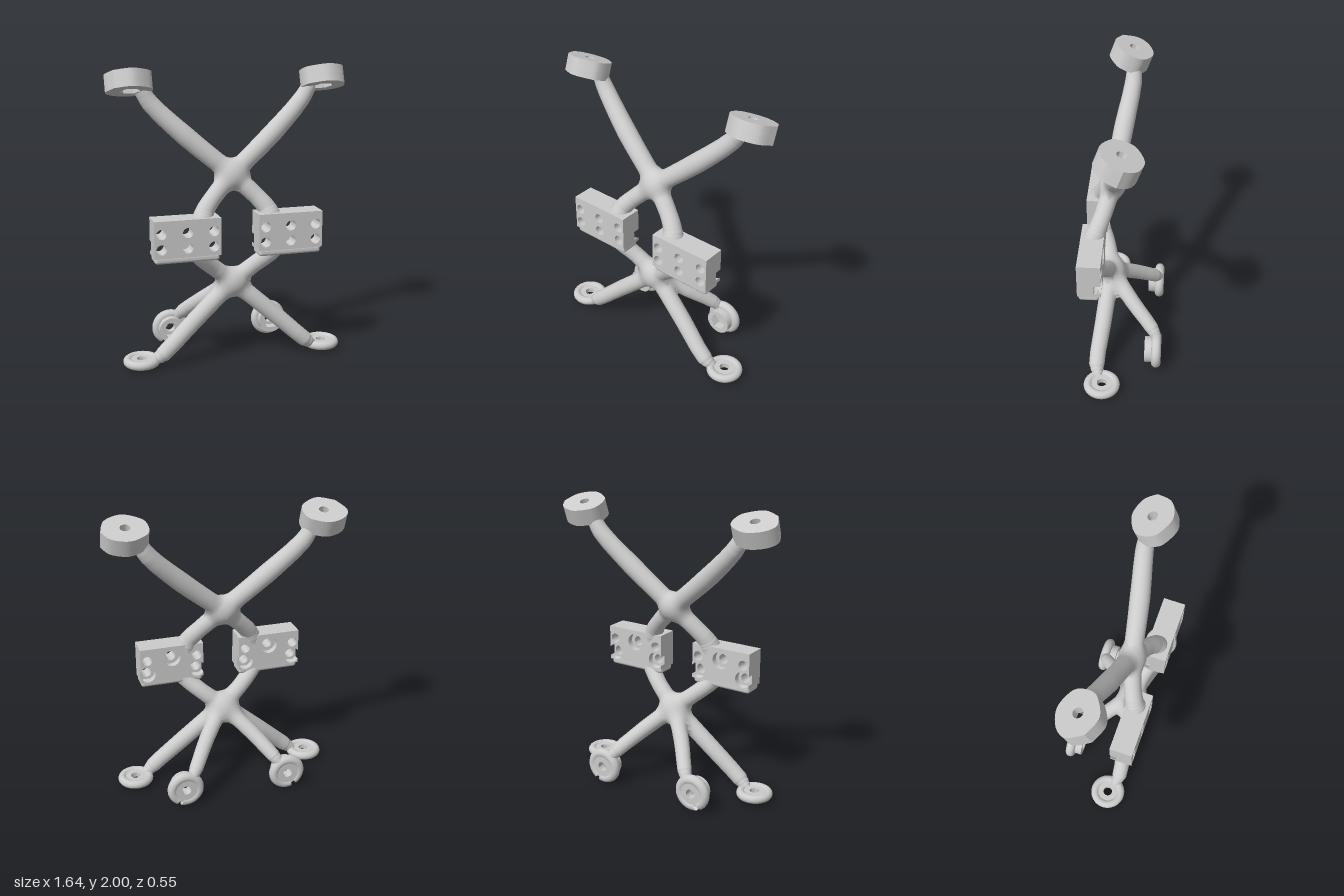
import * as THREE from 'three';
import { toCreasedNormals } from 'three/addons/utils/BufferGeometryUtils.js';
import { RoundedBoxGeometry } from 'three/addons/geometries/RoundedBoxGeometry.js';

const material = new THREE.MeshStandardMaterial({ color: 0xcccccc, side: THREE.DoubleSide });
const V = (x, y, z) => new THREE.Vector3(x, y, z);

function add(parent, name, geometry, x = 0, y = 0, z = 0) {
  const mesh = new THREE.Mesh(geometry, material);
  mesh.name = name;
  mesh.position.set(x, y, z);
  parent.add(mesh);
  return mesh;
}

// Flat plate with holes; each hole is [x, y, radius, sides]
function plate(shape, depth, holes = []) {
  for (const [x, y, r, sides = 28] of holes) {
    const pts = [];
    for (let i = 0; i < sides; i++) {
      const a = (i / sides) * Math.PI * 2;
      pts.push(new THREE.Vector2(x + r * Math.cos(a), y + r * Math.sin(a)));
    }
    shape.holes.push(new THREE.Path(pts));
  }
  const geo = new THREE.ExtrudeGeometry(shape, { depth, bevelEnabled: false, curveSegments: 20 });
  return toCreasedNormals(geo, 0.6);
}

const disc = (r) => new THREE.Shape().absarc(0, 0, r, 0, Math.PI * 2);

// Limb: points are [x, y, z, radius], mirrored by side
function makeLimb(points, side) {
  const curve = new THREE.CatmullRomCurve3(points.map(([x, y, z]) => V(x * side, y, z)));
  const radius = (u) => {
    const f = u * (points.length - 1), i = Math.min(Math.floor(f), points.length - 2);
    return THREE.MathUtils.lerp(points[i][3], points[i + 1][3], f - i);
  };
  const samples = [];
  for (let i = 0; i <= 9; i++) samples.push({ p: curve.getPoint(i / 9), r: radius(i / 9) });
  return { curve, samples };
}

// Distance to one limb, as a chain of tapered capsules
function limbDistance(limb, p) {
  let best = Infinity;
  for (let i = 0; i < limb.samples.length - 1; i++) {
    const { p: a, r: ra } = limb.samples[i], { p: b, r: rb } = limb.samples[i + 1];
    const dx = b.x - a.x, dy = b.y - a.y, dz = b.z - a.z;
    const px = p.x - a.x, py = p.y - a.y, pz = p.z - a.z;
    const h = THREE.MathUtils.clamp((px * dx + py * dy + pz * dz) / (dx * dx + dy * dy + dz * dz), 0, 1);
    best = Math.min(best, Math.hypot(px - dx * h, py - dy * h, pz - dz * h) - ra - (rb - ra) * h);
  }
  return best;
}

// Smooth union of all limbs gives the filleted hub
function field(limbs, p) {
  const k = 0.06;
  let d = 1;
  for (const limb of limbs) {
    const e = limbDistance(limb, p), h = Math.max(k - Math.abs(d - e), 0) / k;
    d = Math.min(d, e) - h * h * k * 0.25;
  }
  return d;
}

// Skin one limb: push each ring outward from the centreline to the blended surface
function skin(limb, limbs) {
  const rings = 36, sides = 28, pos = [], nor = [], index = [], e = 0.002;
  for (let i = 0; i <= rings; i++) {
    const c = limb.curve.getPoint(i / rings), t = limb.curve.getTangent(i / rings);
    const n = V(0, 0, 1).addScaledVector(t, -t.z).normalize();
    const b = t.clone().cross(n);
    for (let j = 0; j <= sides; j++) {
      const a = (j / sides) * Math.PI * 2;
      const dir = n.clone().multiplyScalar(Math.cos(a)).addScaledVector(b, Math.sin(a));
      const p = c.clone();
      let s = 0;
      for (let m = 0; m < 18; m++) {
        s = Math.min(Math.max(s - field(limbs, p), 0), 0.125);
        p.copy(c).addScaledVector(dir, s);
      }
      const f = field(limbs, p);
      const g = V(field(limbs, V(p.x + e, p.y, p.z)) - f, field(limbs, V(p.x, p.y + e, p.z)) - f,
        field(limbs, V(p.x, p.y, p.z + e)) - f).normalize();
      pos.push(p.x, p.y, p.z);
      nor.push(g.x, g.y, g.z);
      if (i < rings && j < sides) {
        const q = i * (sides + 1) + j, r = q + sides + 1;
        index.push(q, q + 1, r, q + 1, r + 1, r);
      }
    }
  }
  const geo = new THREE.BufferGeometry();
  geo.setAttribute('position', new THREE.Float32BufferAttribute(pos, 3));
  geo.setAttribute('normal', new THREE.Float32BufferAttribute(nor, 3));
  geo.setIndex(index);
  return geo;
}

function addFrame(parent, name, limbPaths) {
  const frame = new THREE.Group();
  frame.name = name;
  parent.add(frame);
  const limbs = [];
  for (const side of [1, -1]) {
    for (const [label, pts] of Object.entries(limbPaths)) {
      limbs.push({ name: (side > 0 ? 'left' : 'right') + label, ...makeLimb(pts, side) });
    }
  }
  for (const limb of limbs) add(frame, limb.name, skin(limb, limbs));
}

// Drilled block: a front layer with six holes, a back layer with recesses
function addBlock(parent, side) {
  const block = new THREE.Group();
  block.name = side > 0 ? 'leftBlock' : 'rightBlock';
  block.position.set(0.352 * side, 0.915, 0);
  parent.add(block);
  const w = 0.222, h = 0.125, cx = 0.175, lo = -0.065, hi = 0.038, r = 0.034;
  const front = new THREE.Shape([[-w, -h], [w, -h], [w, h], [-w, h]].map((p) => new THREE.Vector2(...p)));
  const holes = [];
  for (const x of [-cx, 0, cx]) for (const y of [lo, hi]) holes.push([x, y, r]);
  add(block, 'blockFront', plate(front, 0.11, holes), 0, 0, 0.17);

  // Lower recesses break out through the block's ends
  const bite = 0.057, a = Math.acos((w - cx) / bite);
  const back = new THREE.Shape();
  back.moveTo(-w, -h);
  back.lineTo(w, -h);
  back.absarc(cx, lo, bite, -a, a, true);
  back.lineTo(w, h);
  back.lineTo(-w, h);
  back.absarc(-cx, lo, bite, Math.PI - a, Math.PI + a, true);
  back.closePath();
  add(block, 'blockBack', plate(back, 0.045, [[0, hi, 0.06], [-cx, hi, r], [cx, hi, r]]), 0, 0, 0.125);
  add(block, 'blockLedge', new RoundedBoxGeometry(0.435, 0.05, 0.135, 4, 0.02), 0, -0.14, 0.205);
}

// Tilted top pad with a hexagonal pocket below and a bolt hole above
function addPad(parent, side) {
  const pad = new THREE.Group();
  pad.name = side > 0 ? 'leftTopPad' : 'rightTopPad';
  pad.position.set(0.66 * side, 1.9, 0);
  pad.rotation.x = THREE.MathUtils.degToRad(-110);
  parent.add(pad);
  const outline = () => {
    const pts = [[0.158, 0.02], [0.11, 0.1], [0, 0.138], [-0.1, 0.1], [-0.142, 0.05], [-0.143, -0.03],
      [-0.11, -0.085], [0, -0.138], [0.115, -0.09]].map(([x, y]) => new THREE.Vector2(x * side, y));
    if (side < 0) pts.reverse();
    return new THREE.Shape(new THREE.SplineCurve([...pts, pts[0]]).getPoints(60).slice(0, -1));
  };
  add(pad, 'padPocket', plate(outline(), 0.06, [[0, 0, 0.068, 6]]), 0, 0, -0.058);
  add(pad, 'padTop', plate(outline(), 0.057, [[0, 0, 0.033]]), 0, 0, 0.002);
}

// Flat front foot: rounded rim around a drilled disc
function addFrontFoot(parent, side) {
  const foot = new THREE.Group();
  foot.name = side > 0 ? 'leftFrontFoot' : 'rightFrontFoot';
  foot.position.set(0.645 * side, 0.045, 0.125);
  foot.rotation.x = -Math.PI / 2;
  parent.add(foot);
  add(foot, 'footRim', new THREE.TorusGeometry(0.095, 0.03, 16, 48));
  add(foot, 'footDisc', plate(disc(0.095), 0.036, [[0, 0, 0.033]]), 0, 0, -0.018);
}

// Upright rear foot: split rim, drilled disc and a boss with a hexagonal pocket
function addRearFoot(parent, side) {
  const foot = new THREE.Group();
  foot.name = side > 0 ? 'leftRearFoot' : 'rightRearFoot';
  foot.position.set(0.37 * side, 0.128, -0.24);
  parent.add(foot);
  const gap = 0.3;
  const rim = add(foot, 'rearRim', new THREE.TorusGeometry(0.094, 0.034, 16, 48, Math.PI * 2 - gap));
  rim.rotation.z = -Math.PI / 2 + side * 0.45 + gap / 2;
  add(foot, 'rearDisc', plate(disc(0.09), 0.05, [[0, 0, 0.033]]), 0, 0, -0.028);
  add(foot, 'rearBoss', plate(disc(0.09), 0.06, [[0, 0, 0.06, 6]]), 0, 0, 0.022);
}

export function createModel() {
  const model = new THREE.Group();
  model.name = 'bracketFrame';

  addFrame(model, 'upperFrame', {
    UpperArm: [[0, 1.285, 0.085, 0.062], [0.3, 1.54, 0.03, 0.066], [0.52, 1.755, -0.02, 0.058], [0.58, 1.85, -0.025, 0.05]],
    UpperBrace: [[0, 1.285, 0.085, 0.062], [0.15, 1.14, 0.14, 0.058], [0.215, 1.06, 0.175, 0.062], [0.235, 1.0, 0.195, 0.075]],
  });
  addFrame(model, 'lowerFrame', {
    LowerBrace: [[0, 0.545, 0.1, 0.06], [0.14, 0.66, 0.135, 0.056], [0.24, 0.75, 0.185, 0.058], [0.27, 0.79, 0.2, 0.06]],
    FrontLeg: [[0, 0.545, 0.1, 0.06], [0.29, 0.29, 0.14, 0.058], [0.5, 0.1, 0.17, 0.054], [0.57, 0.047, 0.155, 0.03]],
    RearLeg: [[0, 0.545, 0.1, 0.055], [0.16, 0.39, -0.055, 0.053], [0.28, 0.255, -0.2, 0.048], [0.32, 0.205, -0.238, 0.034]],
  });

  for (const side of [1, -1]) {
    addBlock(model, side);
    addPad(model, side);
    addFrontFoot(model, side);
    addRearFoot(model, side);
  }
  return model;
}
